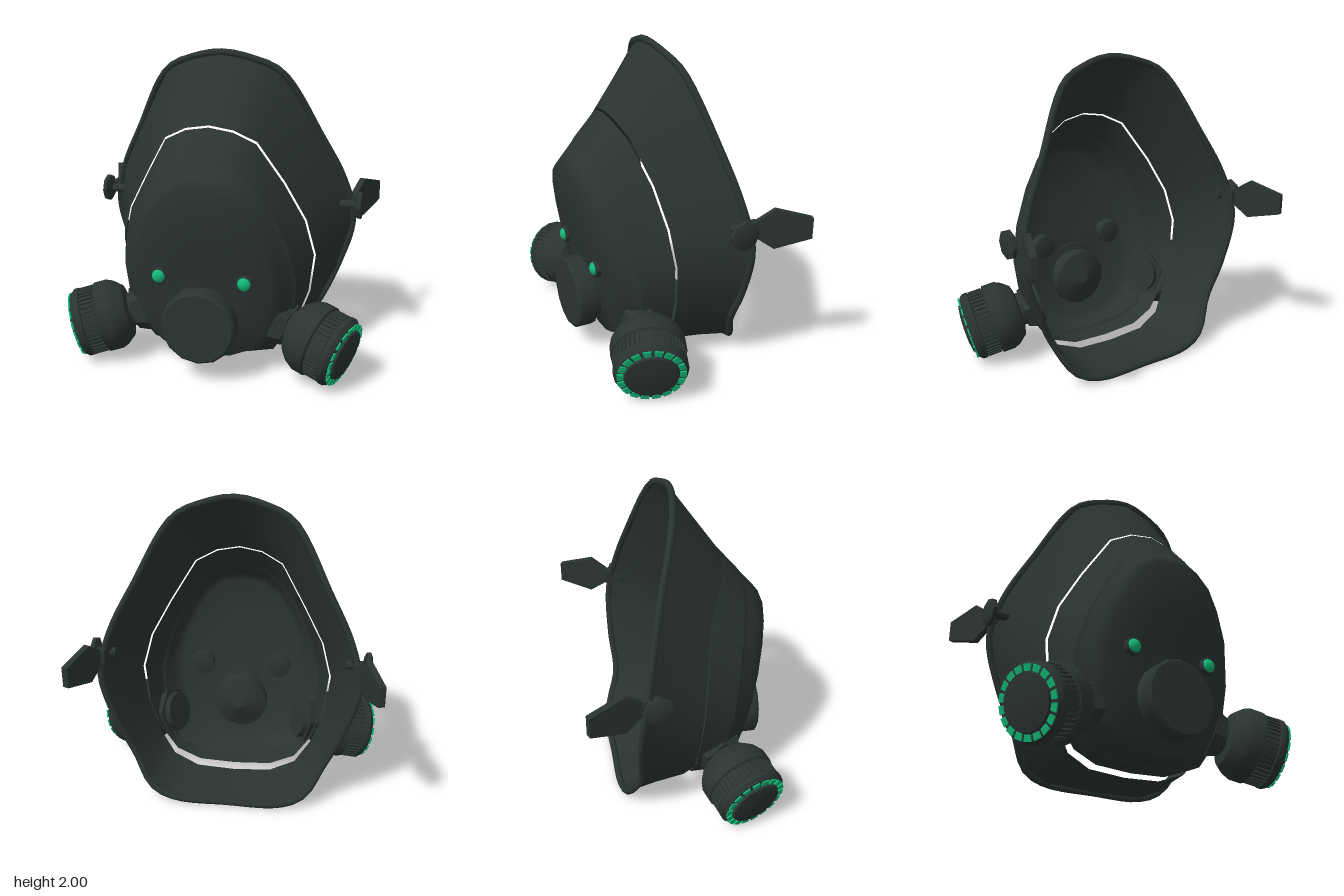
import * as THREE from 'three';
import { toCreasedNormals } from 'three/addons/utils/BufferGeometryUtils.js';

const V = (x, y, z) => new THREE.Vector3(x, y, z);

// Half outlines, from top centre down the +x side to bottom centre
const REAR = [[0, 1.98, 0.02], [0.19, 1.945, 0], [0.37, 1.86, -0.04], [0.61, 1.45, -0.16], [0.76, 1.15, -0.23],
  [0.82, 0.88, -0.28], [0.73, 0.55, -0.285], [0.62, 0.3, -0.27], [0.5, 0.1, -0.34], [0.35, 0.04, -0.37], [0, 0.03, -0.37]];
const JOINT = [[0, 1.575, 0.31], [0.15, 1.55, 0.3], [0.29, 1.48, 0.27], [0.45, 1.22, 0.185], [0.58, 0.98, 0.145],
  [0.64, 0.75, 0.12], [0.61, 0.5, 0.105], [0.53, 0.27, 0.09], [0.42, 0.12, 0.04], [0.25, 0.06, 0], [0, 0.045, 0]];
const FACE = [[0, 1.4, 0.46], [0.16, 1.37, 0.455], [0.29, 1.27, 0.44], [0.4, 1.1, 0.41], [0.5, 0.88, 0.37],
  [0.555, 0.65, 0.33], [0.54, 0.42, 0.29], [0.48, 0.25, 0.26], [0.4, 0.12, 0.22], [0.22, 0.07, 0.2], [0, 0.06, 0.2]];
const FRONT = [[0, 1.23, 0.6], [0.14, 1.215, 0.595], [0.24, 1.14, 0.58], [0.32, 1.02, 0.555], [0.4, 0.85, 0.515],
  [0.43, 0.65, 0.475], [0.41, 0.45, 0.44], [0.36, 0.29, 0.42], [0.28, 0.18, 0.4], [0.15, 0.12, 0.39], [0, 0.1, 0.385]];

// Closes a half outline into a full loop by mirroring
function ring(half) {
  const side = half.map(p => V(...p));
  const other = side.slice(1, -1).reverse().map(p => V(-p.x, p.y, p.z));
  return [...side, ...other];
}
const blend = (a, b, t) => a.map((p, i) => p.clone().lerp(b[i], t));

// Skins a series of loops, ordered from back to front
function loft(rings) {
  const n = rings[0].length, index = [];
  for (let i = 0; i < rings.length - 1; i++) {
    for (let j = 0; j < n; j++) {
      const a = i * n + j, b = i * n + (j + 1) % n;
      index.push(a, a + n, b, b, a + n, b + n);
    }
  }
  const geo = new THREE.BufferGeometry().setFromPoints(rings.flat());
  geo.setIndex(index);
  geo.computeVertexNormals();
  return geo;
}

export function createModel() {
  const rubber = new THREE.MeshStandardMaterial({ color: 0x2b3433, side: THREE.DoubleSide });
  rubber.name = 'dark rubber';
  const green = new THREE.MeshStandardMaterial({ color: 0x12b878 });
  green.name = 'signal green';
  const model = new THREE.Group();
  model.name = 'respiratorMask';

  function add(parent, name, geo, mat = rubber, pos = [0, 0, 0]) {
    const mesh = new THREE.Mesh(geo, mat);
    mesh.name = name;
    mesh.position.set(...pos);
    parent.add(mesh);
    return mesh;
  }
  const lathe = (pts, sides) => toCreasedNormals(
    new THREE.LatheGeometry(pts.map(p => new THREE.Vector2(...p)), sides), 0.5);

  // Face skirt and its rounded sealing rim
  const rear = ring(REAR), joint = ring(JOINT);
  const middle = blend(rear, joint, 0.5);
  middle.forEach(p => { p.x *= 0.98; });
  add(model, 'faceSkirt', loft([rear, middle, joint]));
  const rimPath = new THREE.CatmullRomCurve3(rear, true, 'centripetal');
  add(model, 'sealingRim', new THREE.TubeGeometry(rimPath, 80, 0.022, 7, true));

  // Front shell, set off from the skirt by a narrow gap
  const back = joint.map(p => V(p.x * 0.982, 0.8 + (p.y - 0.8) * 0.985,
    p.z + 0.01 + 0.07 * Math.max(0, 1 - p.y / 0.3)));
  const face = ring(FACE), front = ring(FRONT);
  const lip = face.map(p => V(p.x * 0.97, 0.7 + (p.y - 0.7) * 0.975, p.z + 0.012));
  add(model, 'shellWall', loft([back, blend(back, face, 0.5), face]));
  add(model, 'shellLip', loft([face, lip]));
  const centre = front.map(() => V(0, 0.65, 0.5));
  add(model, 'shellFace', loft([lip, blend(lip, front, 0.5), front, blend(front, centre, 0.5), centre]));

  // Round exhale cover, with its valve body behind the shell
  const cover = add(model, 'exhaleCover', lathe([[0, -0.3], [0.13, -0.24], [0.19, -0.22], [0.19, -0.13],
    [0.235, -0.12], [0.235, -0.015], [0.22, 0], [0, 0.002]], 14), rubber, [0, 0.375, 0.598]);
  cover.rotation.x = Math.PI / 2;

  // Parts that come in pairs, built on the +x side
  const side = new THREE.Group();
  side.name = 'leftSideParts';

  // Indicator light in a small bezel
  const bezel = add(side, 'lightBezel', lathe([[0, -0.12], [0.08, -0.1], [0.08, -0.04], [0.055, -0.03],
    [0.055, 0.015], [0.045, 0.02]], 12), rubber, [0.27, 0.66, 0.495]);
  bezel.rotation.x = Math.PI / 2;
  const light = add(side, 'indicatorLight', new THREE.SphereGeometry(0.042, 10, 8), green, [0.27, 0.66, 0.508]);
  light.scale.z = 0.7;

  // Filter canister: local y points along its axis, y = 0 is the outer face
  const filter = new THREE.Group();
  filter.name = 'filter';
  filter.position.set(0.875, 0.225, 0.4);
  filter.quaternion.setFromUnitVectors(V(0, 1, 0), V(0.91, -0.25, 0.32).normalize());
  side.add(filter);
  add(filter, 'canister', lathe([[0, -0.5], [0.13, -0.5], [0.13, -0.4], [0.11, -0.39], [0.11, -0.36],
    [0.17, -0.345], [0.215, -0.29], [0.232, -0.25], [0.232, -0.17], [0.212, -0.16], [0.212, -0.07],
    [0.226, -0.065], [0.226, -0.035], [0.205, -0.01], [0.165, -0.005], [0.16, 0.014], [0.09, 0.024], [0, 0.028]], 20));
  const ribGeo = new THREE.BoxGeometry(0.014, 0.09, 0.014);
  for (let i = 0; i < 44; i++) {
    const a = i / 44 * Math.PI * 2;
    add(filter, 'gripRib', ribGeo, rubber, [Math.sin(a) * 0.215, -0.115, Math.cos(a) * 0.215]).rotation.y = a;
  }
  // Lit slots between the teeth of the outer edge
  const slotShape = new THREE.Shape([[-0.021, 0.166], [0.021, 0.166], [0.026, 0.205], [-0.026, 0.205]]
    .map(p => new THREE.Vector2(...p)));
  const slotGeo = new THREE.ExtrudeGeometry(slotShape, { depth: 0.009, bevelEnabled: false });
  slotGeo.rotateX(-Math.PI / 2);
  for (let i = 0; i < 18; i++) {
    add(filter, 'litSlot', slotGeo, green, [0, -0.006, 0]).rotation.y = i / 18 * Math.PI * 2;
  }
  // Angular housing where the canister meets the shell
  add(filter, 'filterMount', toCreasedNormals(new THREE.CylinderGeometry(0.135, 0.17, 0.08, 6), 0.4),
    rubber, [0, -0.42, 0]);

  // Side knob on a short pin
  const knob = add(side, 'sideKnob', lathe([[0, -0.12], [0.03, -0.12], [0.03, -0.02], [0.06, -0.015],
    [0.09, 0], [0.09, 0.025], [0.06, 0.035], [0, 0.035]], 8), rubber, [0.855, 1.0, -0.195]);
  knob.rotation.z = -Math.PI / 2;

  // Strap tab, angled outwards towards the back
  const tabShape = new THREE.Shape([[0, 0.05], [0, -0.05], [0.11, -0.125], [0.335, -0.065], [0.335, 0.065], [0.11, 0.125]]
    .map(p => new THREE.Vector2(...p)));
  const tabGeo = new THREE.ExtrudeGeometry(tabShape, { depth: 0.04, bevelEnabled: false });
  tabGeo.translate(0, 0, -0.02);
  const tab = add(side, 'strapTab', tabGeo, rubber, [0.82, 1.005, -0.295]);
  tab.rotation.y = Math.atan2(0.31, 0.12);
  add(side, 'strapAnchor', new THREE.BoxGeometry(0.06, 0.09, 0.07), rubber, [0.81, 1.005, -0.275]);

  const mirrored = side.clone();
  mirrored.name = 'rightSideParts';
  mirrored.scale.x = -1;
  model.add(side, mirrored);
  return model;
}
